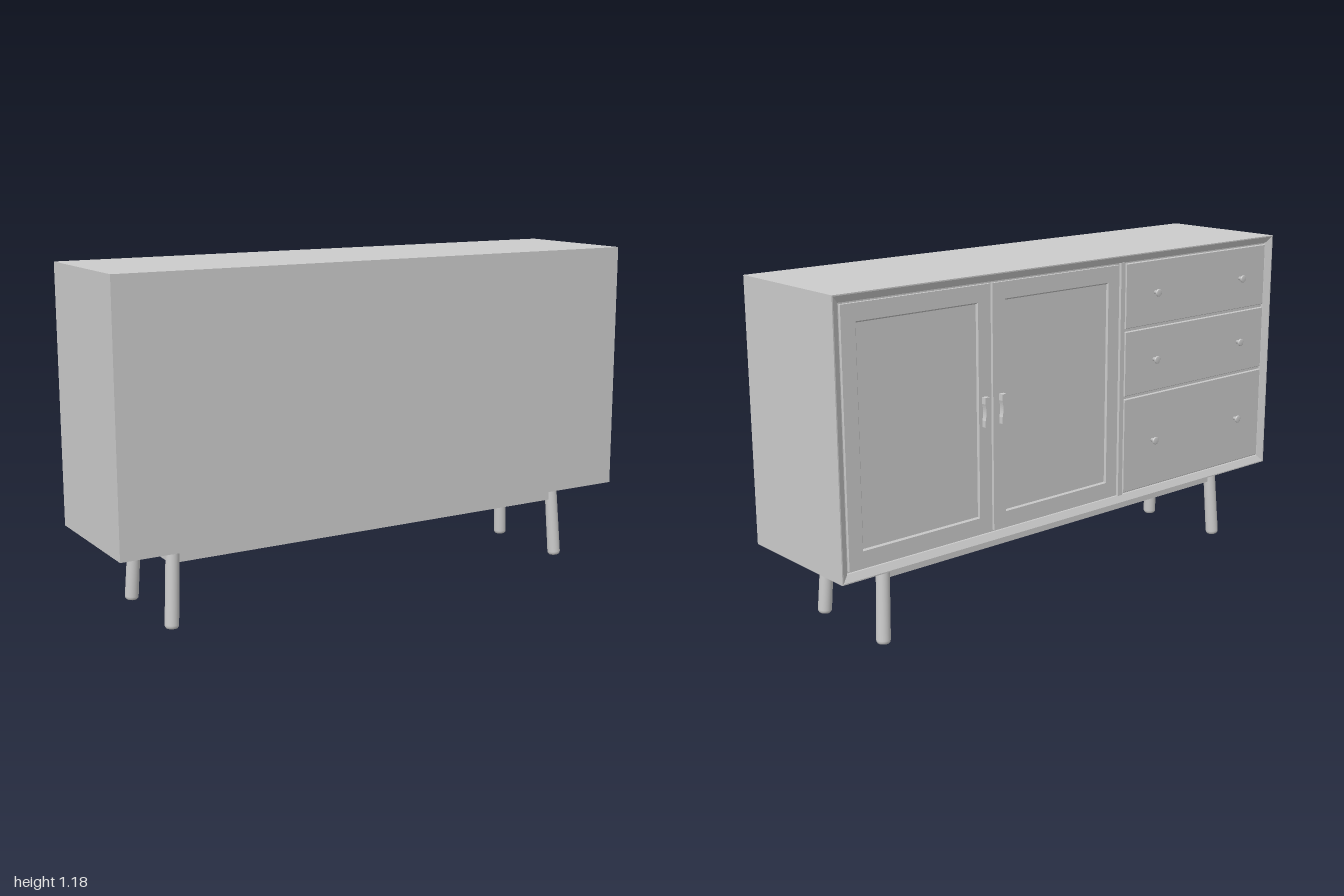
import * as THREE from 'three';

const material = new THREE.MeshStandardMaterial({ color: 0xcccccc });

// Closed solid from rectangular loops [halfWidth, halfHeight, z], ordered from +z to -z
function rectLoft(loops) {
  const pos = [];
  const rings = loops.map(([w, h, z]) => [[-w, -h, z], [w, -h, z], [w, h, z], [-w, h, z]]);
  const tri = (...corners) => corners.forEach((c) => pos.push(...c));
  for (let k = 0; k < rings.length - 1; k++) {
    const a = rings[k], b = rings[k + 1];
    for (let i = 0; i < 4; i++) {
      const j = (i + 1) % 4;
      tri(a[i], b[i], a[j]);
      tri(a[j], b[i], b[j]);
    }
  }
  const s = rings[0], e = rings[rings.length - 1];
  tri(s[0], s[1], s[2]);
  tri(s[0], s[2], s[3]);
  tri(e[0], e[2], e[1]);
  tri(e[0], e[3], e[2]);
  const g = new THREE.BufferGeometry();
  g.setAttribute('position', new THREE.Float32BufferAttribute(pos, 3));
  g.computeVertexNormals();
  return g;
}

export function createModel() {
  const group = new THREE.Group();
  const add = (name, geometry, x, y, z) => {
    const mesh = new THREE.Mesh(geometry, material);
    mesh.name = name;
    mesh.position.set(x, y, z);
    group.add(mesh);
    return mesh;
  };

  // Carcass with a bevelled rim around the recessed door side (facing -z)
  const midY = 0.725;
  const floorZ = -0.225, faceZ = -0.235;
  add('carcass', rectLoft([
    [1, 0.45, 0.255], [1, 0.45, -0.245], [0.996, 0.446, -0.245],
    [0.973, 0.423, -0.232], [0.973, 0.423, floorZ],
  ]), 0, midY, 0);
  add('divider', new THREE.BoxGeometry(0.02, 0.846, 0.012), -0.205, midY, -0.23);

  // Two framed doors with sunken panels
  const doorW = 0.286, doorH = 0.417;
  for (const x of [0.68, 0.1]) {
    add('door', rectLoft([
      [doorW, doorH, floorZ + 0.002], [doorW, doorH, faceZ],
      [doorW - 0.052, doorH - 0.056, faceZ],
      [doorW - 0.057, doorH - 0.061, faceZ + 0.006],
    ]), x, midY, 0);
  }

  // Waisted pull handles either side of the door meeting line
  const pull = new THREE.Shape();
  pull.moveTo(-0.009, -0.05);
  pull.lineTo(0.009, -0.05);
  pull.lineTo(0.009, -0.028);
  pull.quadraticCurveTo(0.001, 0, 0.009, 0.028);
  pull.lineTo(0.009, 0.05);
  pull.lineTo(-0.009, 0.05);
  pull.lineTo(-0.009, 0.028);
  pull.quadraticCurveTo(-0.001, 0, -0.009, -0.028);
  const pullGeometry = new THREE.ExtrudeGeometry(pull, { depth: 0.018, bevelEnabled: false, curveSegments: 8 });
  for (const x of [0.352, 0.424]) add('doorHandle', pullGeometry, x, midY, -0.252);

  // Drawers, each with two flared knobs
  const knobGeometry = new THREE.LatheGeometry([
    [0, 0], [0.007, 0], [0.007, 0.008], [0.014, 0.017], [0.014, 0.02], [0.011, 0.022], [0, 0.022],
  ].map(([r, h]) => new THREE.Vector2(r, h)), 20);
  for (const [bottom, top] of [[0.308, 0.655], [0.667, 0.9], [0.912, 1.142]]) {
    const y = (bottom + top) / 2, h = (top - bottom) / 2;
    add('drawer', rectLoft([
      [0.374, h, floorZ + 0.002], [0.374, h, faceZ + 0.002], [0.372, h - 0.002, faceZ],
    ]), -0.595, y, 0);
    for (const x of [-0.825, -0.367]) {
      add('drawerKnob', knobGeometry, x, y, faceZ).rotation.x = -Math.PI / 2;
    }
  }

  // Splayed round legs
  const up = new THREE.Vector3(0, 1, 0);
  const zMid = 0.007;
  for (const sx of [-1, 1]) {
    for (const sz of [-1, 1]) {
      const foot = new THREE.Vector3(sx * 0.799, 0.001, zMid + sz * 0.172);
      const head = new THREE.Vector3(sx * 0.783, 0.28, zMid + sz * 0.158);
      const dir = head.clone().sub(foot);
      const profile = [[0, 0], [0.019, 0], [0.023, 0.005], [0.024, 0.012], [0.0225, dir.length()]];
      const leg = add('leg', new THREE.LatheGeometry(
        profile.map(([r, h]) => new THREE.Vector2(r, h)), 24), foot.x, foot.y, foot.z);
      leg.quaternion.setFromUnitVectors(up, dir.normalize());
    }
  }

  // Rails joining the legs under the carcass
  for (const s of [-1, 1]) {
    add('longRail', new THREE.BoxGeometry(1.55, 0.057, 0.025), 0, 0.248, zMid + s * 0.158);
    add('sideRail', new THREE.BoxGeometry(0.025, 0.057, 0.3), s * 0.783, 0.248, zMid);
  }

  return group;
}
